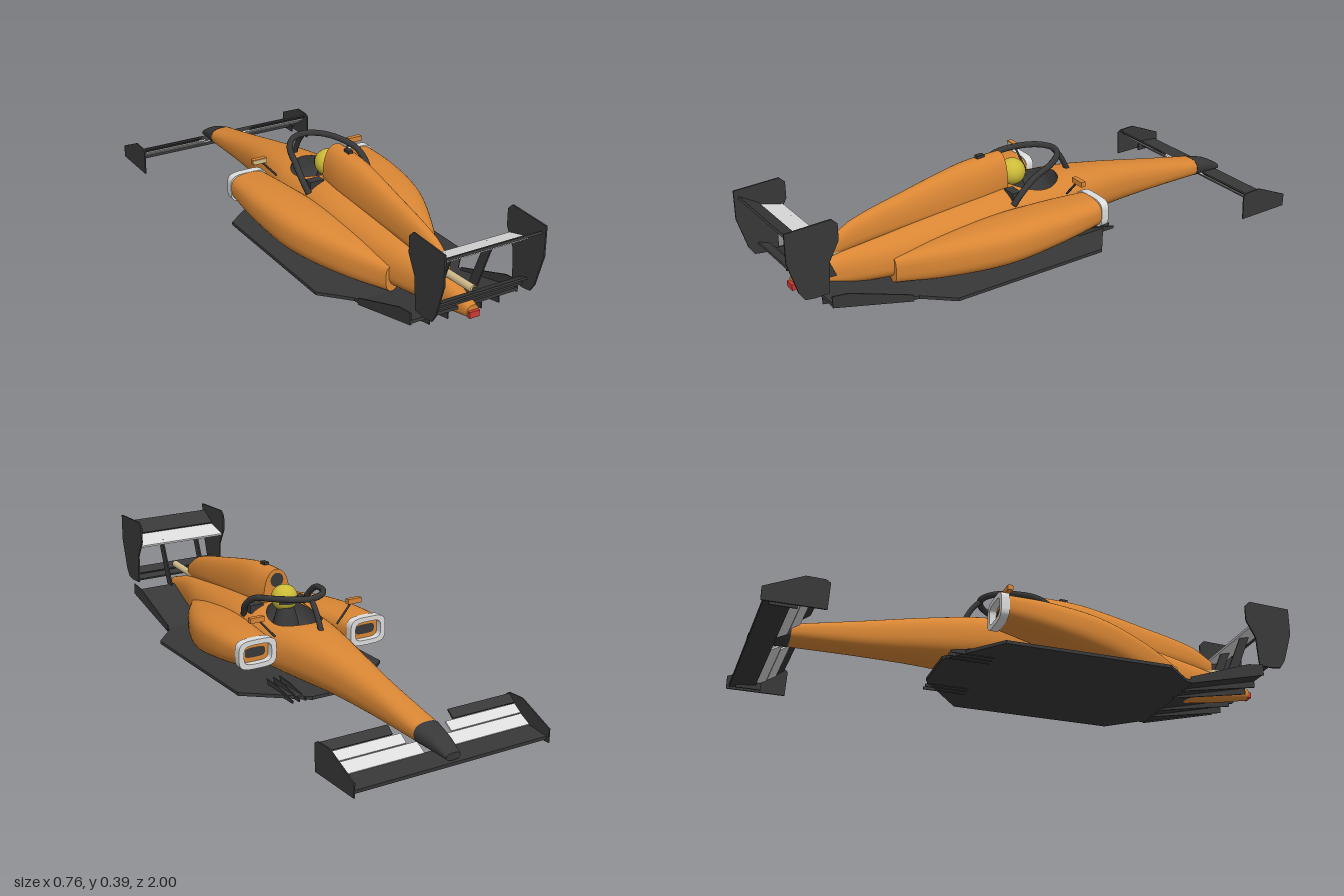
import * as THREE from 'three';

const mat = (name, color) => Object.assign(new THREE.MeshStandardMaterial({ color, side: THREE.DoubleSide }), { name });

// Smooth interpolation of station rows [z, ...values]
function at(st, z) {
  let i = 0;
  while (i < st.length - 2 && z > st[i + 1][0]) i++;
  const a = st[i], b = st[i + 1], d = b[0] - a[0], t = (z - a[0]) / d;
  const p = st[Math.max(i - 1, 0)], q = st[Math.min(i + 2, st.length - 1)];
  return a.slice(1).map((v, k) => {
    k++;
    const m0 = (b[k] - p[k]) / (b[0] - p[0]) * d, m1 = (q[k] - a[k]) / (q[0] - a[0]) * d;
    return (2 * t ** 3 - 3 * t * t + 1) * v + (t ** 3 - 2 * t * t + t) * m0
      + (3 * t * t - 2 * t ** 3) * b[k] + (t ** 3 - t * t) * m1;
  });
}

const span = (a, b, n) => Array.from({ length: n + 1 }, (_, i) => a + (b - a) * i / n);
const pw = (v, p) => Math.sign(v) * Math.abs(v) ** p;

// Rounded cross-section from angle a0 to a1, counter-clockwise
function ring(z, xc, w, yb, yc, yt, p, a0 = 0, a1 = Math.PI * 2, n = 40) {
  return span(a0, a1, n).map(a => {
    const s = pw(Math.sin(a), p);
    return [xc + w * pw(Math.cos(a), p), yc + s * (s > 0 ? yt - yc : yc - yb), z];
  });
}

// Surface through equal rings, with optional flat ends
function loft(rings, closed, caps) {
  if (closed) rings = rings.map(r => r.slice(0, -1));
  const n = rings[0].length, pos = rings.flat(2), idx = [];
  for (let i = 0; i < rings.length - 1; i++) {
    for (let j = 0; j < (closed ? n : n - 1); j++) {
      const k = (j + 1) % n, a = i * n + j, b = i * n + k;
      idx.push(a, b, a + n, b, b + n, a + n);
    }
  }
  if (caps) [rings[0], rings[rings.length - 1]].forEach((r, e) => {
    const base = pos.length / 3;
    pos.push(...r.flat(), ...[0, 1, 2].map(c => r.reduce((s, v) => s + v[c], 0) / n));
    for (let j = 0; j < n; j++) {
      const k = (j + 1) % n;
      idx.push(base + n, base + (e ? j : k), base + (e ? k : j));
    }
  });
  const g = new THREE.BufferGeometry();
  g.setAttribute('position', new THREE.Float32BufferAttribute(pos, 3));
  g.setIndex(idx);
  g.computeVertexNormals();
  return g;
}

const shapeOf = pts => new THREE.Shape(pts.map(p => new THREE.Vector2(p[0], p[1])));
// Upright plate from [z, y] points, centred on x
const sidePlate = (pts, x, t) => new THREE.ExtrudeGeometry(shapeOf(pts), { depth: t, bevelEnabled: false })
  .rotateY(-Math.PI / 2).translate(x + t / 2, 0, 0);
// Spanwise slat between two (z, y) edges
const slat = (x0, x1, z0, y0, z1, y1, t) => new THREE.BoxGeometry(x1 - x0, t, Math.hypot(z1 - z0, y1 - y0))
  .rotateX(-Math.atan2(y1 - y0, z1 - z0)).translate((x0 + x1) / 2, (y0 + y1) / 2, (z0 + z1) / 2);
const box = (w, h, d, x, y, z) => new THREE.BoxGeometry(w, h, d).translate(x, y, z);
const tube = (pts, r, n = 8) => new THREE.TubeGeometry(
  new THREE.CatmullRomCurve3(pts.map(p => new THREE.Vector3(...p))), n, r, 10);

export function createModel() {
  const car = new THREE.Group();
  car.name = 'racingCar';
  const orange = mat('orangePaint', 0xd98634), carbon = mat('carbon', 0x383838), silver = mat('silver', 0xdcdcdc);
  const yellow = mat('helmetYellow', 0xcdbb38), beige = mat('metalBeige', 0xd3bd8c), red = mat('lightRed', 0xd03a34);
  const add = (name, geo, m) => {
    const mesh = new THREE.Mesh(geo, m);
    mesh.name = name;
    car.add(mesh);
    return mesh;
  };

  // Central body with an oval cockpit opening
  const body = [
    [-0.85, .05, .033, .07, .102], [-0.6, .06, .035, .09, .155], [-0.4, .083, .035, .11, .195],
    [-0.22, .115, .03, .12, .222], [-0.1, .138, .03, .12, .228], [.07, .15, .03, .12, .245],
    [.2, .148, .03, .12, .24], [.4, .125, .03, .1, .215], [.56, .095, .03, .09, .19],
    [.75, .045, .045, .09, .158], [.9, .022, .072, .092, .115]];
  const P = .82;
  const hole = z => .095 * Math.sqrt(Math.max(0, 1 - ((z + .055) / .115) ** 2));
  const cockpitZ = span(-.17, .06, 28);
  const bodyZ = [...span(-.85, -.17, 22).slice(0, -1), ...cockpitZ, ...span(.06, .9, 28).slice(1)];
  const bodyRing = z => {
    const [w, yb, yc, yt] = at(body, z);
    const rim = Math.acos((hole(z) / w) ** (1 / P));
    return ring(z, 0, w, yb, yc, yt, P, Math.PI - rim, Math.PI * 2 + rim, 48);
  };
  add('body', loft(bodyZ.map(bodyRing), false, true), orange);
  add('cockpitTub', loft(cockpitZ.map(z => {
    const r = bodyRing(z), [x, y] = r[r.length - 1], d = .07 * Math.sqrt(hole(z) / .095);
    return [[x, y, z], [x * .93, y - d, z], [-x * .93, y - d, z], [-x, y, z]];
  }), false), carbon);

  // Nose tip
  const tip = [[-.985, .028, .025, .038, .05], [-.93, .038, .028, .055, .08], [-.85, .051, .032, .07, .103]];
  add('noseTip', loft(span(-.985, -.848, 10).map(z => ring(z, 0, ...at(tip, z), P)), true, true), carbon);

  // Engine cover, air intake and camera
  const cover = [[.07, .054, .2, .255, .362], [.16, .06, .2, .25, .36], [.25, .056, .19, .24, .352],
    [.45, .042, .18, .22, .312], [.675, .026, .16, .2, .258], [.755, .014, .15, .185, .21]];
  add('engineCover', loft(span(.07, .755, 26).map(z => ring(z, 0, ...at(cover, z), .9)), true, true), orange);
  add('airIntake', new THREE.CircleGeometry(.027, 24).rotateY(Math.PI).translate(0, .322, .067), carbon);
  add('camera', box(.018, .016, .03, 0, .362, .155), carbon);

  // Exhaust and rear light
  add('exhaust', tube([[0, .163, .72], [0, .166, .8], [0, .171, .9]], .014), beige);
  add('exhaustBore', new THREE.CircleGeometry(.01, 16).translate(0, .171, .901), carbon);
  add('rearLight', box(.038, .022, .014, 0, .087, .904), red);

  // Helmet, visor and driver
  add('helmet', new THREE.SphereGeometry(.049, 28, 20).translate(0, .27, .015), yellow);
  add('visor', new THREE.SphereGeometry(.051, 20, 8, Math.PI * 1.5 - .95, 1.9, 1.3, .55).translate(0, .27, .015), carbon);
  add('driver', new THREE.CylinderGeometry(.03, .055, .09, 20).translate(0, .195, .005), carbon);

  // Halo
  const arm = [[.125, .205, .095], [.135, .25, .065], [.13, .29, .01], [.103, .308, -.08], [.055, .315, -.145]];
  add('halo', tube([...arm, [0, .316, -.168], ...arm.slice().reverse().map(([x, y, z]) => [-x, y, z])], .0115, 60), carbon);
  add('haloPylon', tube([[0, .315, -.165], [0, .275, -.2], [0, .21, -.235]], .01), carbon);

  // Floor and rear ramp
  const half = [[.1, -.335], [.3, -.17], [.3, .44], [.21, .54], [.207, .57]];
  add('floor', new THREE.ExtrudeGeometry(shapeOf([...half, ...half.slice().reverse().map(([x, z]) => [-x, z])]),
    { depth: .012, bevelEnabled: false }).rotateX(Math.PI / 2).translate(0, .026, 0), carbon);
  add('diffuser', slat(-.206, .206, .56, .02, .86, .095, .01), carbon);

  // Front wing main plane
  add('frontWing', slat(-.375, .375, -.99, .014, -.9, .022, .012), carbon);

  // Rear wing
  add('rearWingMain', slat(-.187, .187, .83, .288, .92, .312, .008), silver);
  add('rearWingFlap', slat(-.187, .187, .918, .318, .985, .358, .008), carbon);
  add('beamWingLower', slat(-.187, .187, .87, .137, .91, .146, .007), carbon);
  add('beamWingUpper', slat(-.187, .187, .89, .157, .93, .173, .007), carbon);

  // Paired parts
  const pod = [[-.165, .155, .303, .11, .165, .214], [0, .125, .305, .08, .145, .215], [.2, .09, .28, .045, .125, .2],
    [.4, .07, .2, .03, .1, .165], [.565, .055, .105, .028, .08, .122]];
  const podRing = (z, s) => {
    const [xi, xo, yb, yc, yt] = at(pod, z);
    return ring(z, s * (xi + xo) / 2, (xo - xi) / 2, yb, yc, yt, .75);
  };
  const outline = (w, h) => ring(0, 0, w, -h, 0, h, .5).slice(0, -1);
  for (const s of [1, -1]) {
    const side = s > 0 ? 'left' : 'right';
    const put = (name, geo, m) => add(side + name, geo, m);
    const across = (a, b) => s > 0 ? [a, b] : [-b, -a];

    // Sidepod and its inlet
    put('Sidepod', loft(span(-.165, .565, 30).map(z => podRing(z, s)), true, true), orange);
    const lip = shapeOf(outline(.075, .053));
    lip.holes.push(shapeOf(outline(.055, .035)));
    put('InletRing', new THREE.ExtrudeGeometry(lip, { depth: .03, bevelEnabled: false })
      .translate(s * .23, .162, -.19), silver);
    put('InletSlot', new THREE.ShapeGeometry(shapeOf(outline(.04, .018)))
      .rotateY(Math.PI).translate(s * .23, .162, -.168), carbon);

    // Mirror
    put('Mirror', box(.056, .019, .018, s * .203, .265, -.132), orange);
    put('MirrorStalk', tube([[s * .19, .256, -.132], [s * .165, .228, -.134], [s * .13, .19, -.136]], .004), carbon);
    if (s < 0) put('MirrorGlass', box(.05, .015, .002, s * .203, .265, -.122), beige);

    // Halo mount
    put('HaloMount', box(.055, .03, .035, s * .09, .23, .075), carbon);

    // Front wing flaps, endplate and fence
    put('FrontFlapLower', slat(...across(.05, .374), -.905, .028, -.862, .05, .006), silver);
    put('FrontFlapMiddle', slat(...across(.088, .374), -.86, .053, -.828, .074, .006), silver);
    put('FrontFlapUpper', slat(...across(.118, .374), -.828, .078, -.8, .1, .006), carbon);
    put('FrontEndplate', sidePlate([[-1, 0], [-.79, 0], [-.785, .095], [-.8, .105], [-.865, .107], [-1, .048]],
      s * .376, .005), carbon);
    put('FrontFence', sidePlate([[-.97, 0], [-.88, 0], [-.88, .028], [-.97, .015]], s * .352, .004), carbon);

    // Rear wing endplate and strut
    put('RearEndplate', sidePlate([[1, .385], [.835, .39], [.815, .37], [.815, .31], [.85, .245], [.858, .132],
      [.91, .13], [.945, .135], [.965, .165], [1, .28]], s * .188, .006), carbon);
    put('RearStrut', sidePlate([[.775, .12], [.815, .12], [.885, .298], [.85, .298]], s * .078, .006), carbon);

    // Diffuser side wall and strakes
    put('DiffuserWall', sidePlate([[.56, .01], [.86, .085], [.86, .127], [.8, .12], [.56, .035]], s * .207, .005), carbon);
    for (const x of [.065, .135])
      put('DiffuserStrake', sidePlate([[.56, .008], [.86, .065], [.86, .095], [.56, .02]], s * x, .004), carbon);

    // Floor fences
    for (const x of [.12, .145, .172])
      put('FloorFence', sidePlate([[-.325, .012], [-.17, .012], [-.15, .045], [-.22, .042], [-.325, .022]], s * x, .004), carbon);
  }
  return car;
}
